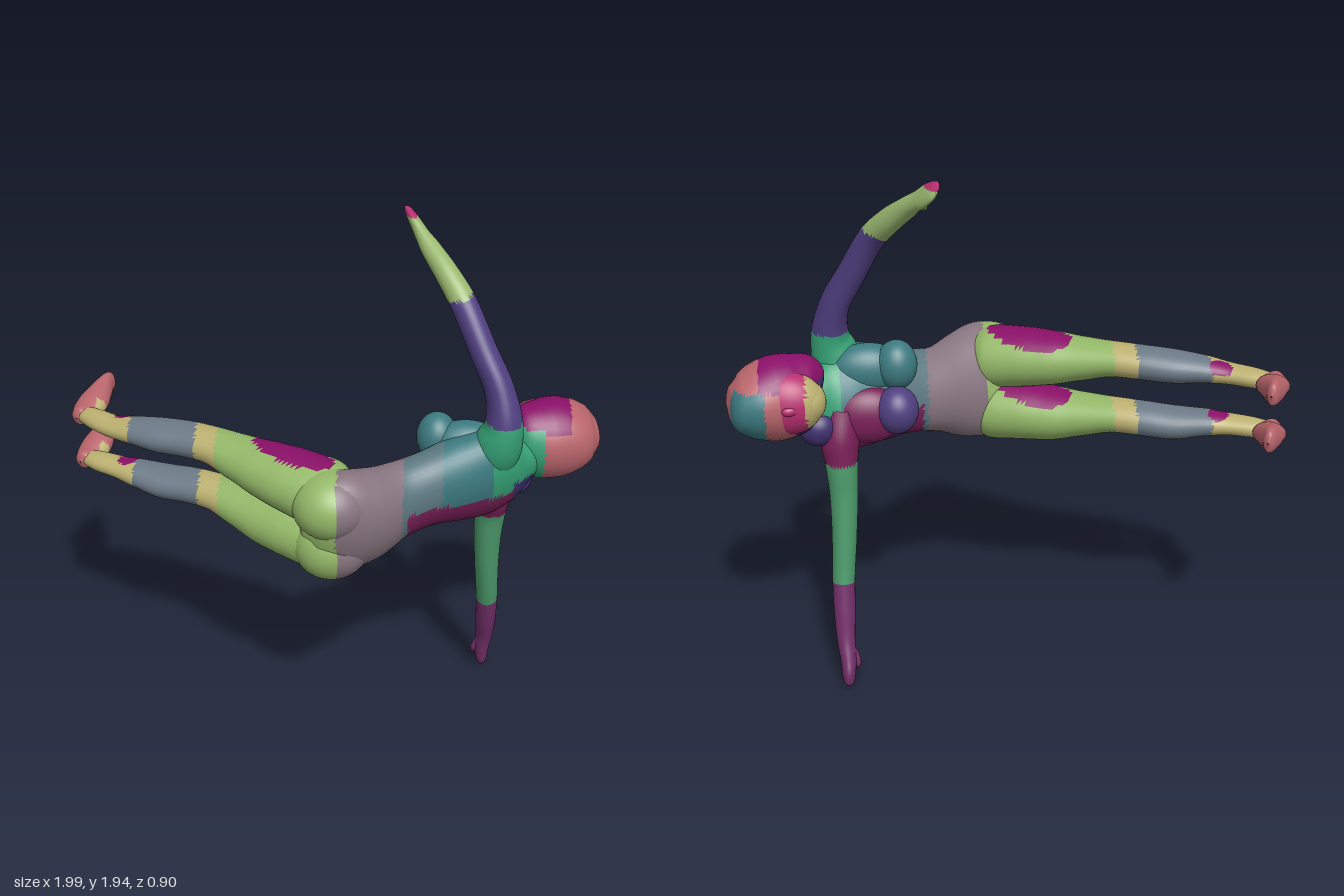
import * as THREE from 'three';

const V = (x, y, z) => new THREE.Vector3(x, y, z);
const C = {
  mauve: 0x87757f, slate: 0x5c7880, plum: 0x7a2058, teal: 0x3c7a80, mint: 0x35a075,
  green: 0x94b868, magenta: 0x8a1068, calf: 0x6c7a86, sand: 0xbcb070, rose: 0xb8656b,
  armGreen: 0x4c9a6b, armPlum: 0x74306a, violet: 0x4f3f80, armSand: 0x9ab870, indigo: 0x40306f,
  pink: 0xb83070,
};

// Splits a smooth geometry into one mesh per colour; paint(p) gives the colour at a face centre
function painted(name, geo, paint) {
  const group = new THREE.Group();
  group.name = name;
  const pos = geo.attributes.position, idx = geo.index.array, parts = new Map();
  for (let i = 0; i < idx.length; i += 3) {
    const p = V(0, 0, 0);
    for (let k = 0; k < 3; k++) p.add(V(0, 0, 0).fromBufferAttribute(pos, idx[i + k]));
    const colour = paint(p.divideScalar(3));
    if (!parts.has(colour)) parts.set(colour, []);
    parts.get(colour).push(idx[i], idx[i + 1], idx[i + 2]);
  }
  for (const [color, index] of parts) {
    const part = geo.clone();
    part.setIndex(index);
    const mesh = new THREE.Mesh(part, new THREE.MeshStandardMaterial({ color }));
    mesh.name = name;
    group.add(mesh);
  }
  return group;
}

// Smooth loft through stations [x, y, z, radius along side, radius across]
function loft(name, stations, side, paint, rows = 60, cols = 32) {
  const path = new THREE.CatmullRomCurve3(stations.map(s => V(s[0], s[1], s[2])));
  const size = new THREE.CatmullRomCurve3(stations.map(s => V(s[3], s[4], 0)), false, 'catmullrom', 0.4);
  const verts = [], index = [];
  for (let i = 0; i <= rows; i++) {
    const c = path.getPoint(i / rows), r = size.getPoint(i / rows), t = path.getTangent(i / rows);
    const u = side.clone().addScaledVector(t, -side.dot(t)).normalize();
    const v = t.clone().cross(u);
    for (let j = 0; j < cols; j++) {
      const a = j / cols * Math.PI * 2;
      const p = c.clone().addScaledVector(u, Math.max(r.x, 0.002) * Math.cos(a))
        .addScaledVector(v, Math.max(r.y, 0.002) * Math.sin(a));
      verts.push(p.x, p.y, p.z);
      if (i < rows) {
        const k = i * cols + j, n = i * cols + (j + 1) % cols;
        index.push(k, n, k + cols, n, n + cols, k + cols);
      }
    }
  }
  const geo = new THREE.BufferGeometry();
  geo.setAttribute('position', new THREE.Float32BufferAttribute(verts, 3));
  geo.setIndex(index);
  geo.computeVertexNormals();
  return painted(name, geo, paint);
}

// Rounded body mass
function blob(name, centre, radii, paint, tiltY = 0) {
  const geo = new THREE.SphereGeometry(1, 32, 24);
  geo.scale(...radii).rotateY(tiltY).translate(...centre);
  return painted(name, geo, paint);
}

export function createModel() {
  const model = new THREE.Group();
  model.name = 'figure';
  const twist = V(0, 0.94, 0.34);

  // Torso from seat to neck
  const torsoPaint = p => {
    if (p.x < 0.05) return C.green;
    if (p.x < 0.28) return C.mauve;
    if (p.x > 0.68) return p.y > 1.05 ? C.mint : C.indigo;
    if (p.y < 1.01 && p.x > 0.3) return C.plum;
    return p.x > 0.6 ? C.mint : p.x > 0.42 ? C.teal : C.slate;
  };
  model.add(loft('torso', [
    [-0.07, 0.985, 0.34, 0, 0], [-0.045, 0.985, 0.325, 0.15, 0.08], [0.03, 0.99, 0.29, 0.22, 0.13],
    [0.13, 0.99, 0.235, 0.205, 0.14], [0.25, 1.01, 0.15, 0.16, 0.122], [0.35, 1.03, 0.1, 0.157, 0.115],
    [0.47, 1.05, 0.05, 0.182, 0.125], [0.57, 1.06, 0.01, 0.195, 0.118], [0.64, 1.07, -0.02, 0.17, 0.1],
    [0.69, 1.085, -0.05, 0.12, 0.08], [0.75, 1.11, -0.08, 0.068, 0.068], [0.8, 1.12, -0.11, 0.055, 0.055],
  ], twist, torsoPaint, 90, 40));

  model.add(blob('leftButtock', [0.03, 1.08, 0.31], [0.14, 0.125, 0.138], torsoPaint, 0.4));
  model.add(blob('rightButtock', [0.03, 0.895, 0.265], [0.14, 0.13, 0.138], torsoPaint, 0.4));

  // Breasts, with the chest rising to the shoulders
  model.add(blob('leftBreast', [0.395, 1.185, -0.025], [0.075, 0.092, 0.078], () => C.teal));
  model.add(blob('rightBreast', [0.4, 1.035, -0.09], [0.078, 0.088, 0.08], () => C.violet));
  model.add(blob('leftChest', [0.5, 1.165, 0], [0.14, 0.095, 0.078], () => C.teal));
  model.add(blob('rightChest', [0.51, 1.01, -0.06], [0.14, 0.11, 0.078], () => C.plum));
  model.add(blob('rightShoulder', [0.685, 0.985, -0.1], [0.07, 0.068, 0.065], () => C.indigo));

  // Legs and feet: [hip y, thigh y, knee y, ankle y, toe rise, z shift]
  for (const [name, hip, thigh, knee, ankle, rise, dz] of [
    ['left', 1.085, 1.118, 1.148, 1.135, 0.04, 0.01], ['right', 0.89, 0.905, 0.937, 0.947, 0.05, -0.02],
  ]) {
    const legPaint = p => {
      const mid = THREE.MathUtils.lerp(knee, hip, (p.x + 0.4) / 0.4);
      const patch = Math.hypot((p.x + 0.11) / 0.15, (p.z - dz - 0.16 - 0.5 * (p.x + 0.11)) / 0.095);
      if (p.y > mid + 0.03 && patch < 1) return C.magenta;
      if (p.y > ankle + 0.01 && Math.hypot(p.x + 0.77, p.z + 0.15) < 0.04) return C.magenta;
      return p.x > -0.4 ? C.green : p.x > -0.48 ? C.sand : p.x > -0.74 ? C.calf : C.sand;
    };
    model.add(loft(name + 'Leg', [
      [0.1, hip, 0.28 + dz, 0.08, 0.08], [0.02, hip + 0.005, 0.25 + dz, 0.118, 0.135],
      [-0.1, (hip + thigh) / 2 + 0.005, 0.19 + dz, 0.112, 0.135], [-0.2, thigh, 0.135 + dz, 0.1, 0.122],
      [-0.31, (thigh + knee) / 2, 0.075 + dz, 0.08, 0.1], [-0.41, knee, 0.02 + dz, 0.064, 0.085],
      [-0.52, knee, -0.03 + dz, 0.062, 0.084], [-0.62, knee - 0.005, -0.065 + dz, 0.06, 0.084],
      [-0.72, (knee + ankle) / 2, -0.1 + dz, 0.049, 0.071], [-0.81, ankle, -0.138 + dz, 0.038, 0.056],
      [-0.88, ankle, -0.182 + dz / 2, 0.036, 0.05], [-0.94, ankle, -0.225, 0.03, 0.038],
    ], V(0, 1, 0), legPaint, 80));
    model.add(loft(name + 'Foot', [
      [-0.965, ankle, -0.185, 0, 0], [-0.96, ankle, -0.2, 0.033, 0.03], [-0.94, ankle, -0.245, 0.039, 0.056],
      [-0.92, ankle + rise * 0.4, -0.3, 0.041, 0.06], [-0.905, ankle + rise * 0.7, -0.36, 0.045, 0.046],
      [-0.888, ankle + rise * 0.95, -0.415, 0.047, 0.028], [-0.876, ankle + rise, -0.44, 0.036, 0.018],
      [-0.87, ankle + rise, -0.452, 0, 0],
    ], V(0, 1, 0), p => (p.x > -0.9 && p.z > -0.27 ? C.sand : C.rose), 50));
  }

  // Raised left arm
  const leftPaint = p => {
    if (p.y > 1.7 + (p.x - 0.46) * 0.4) return p.y > 1.915 ? C.pink : C.armSand;
    return p.y > 1.3 ? C.violet : C.mint;
  };
  model.add(loft('leftArm', [
    [0.59, 1.1, 0.02, 0.08, 0.08], [0.612, 1.2, 0.055, 0.09, 0.088], [0.628, 1.28, 0.058, 0.087, 0.07],
    [0.608, 1.4, 0.03, 0.076, 0.054], [0.545, 1.53, -0.02, 0.063, 0.05], [0.47, 1.68, -0.09, 0.05, 0.048],
    [0.41, 1.76, -0.16, 0.048, 0.043], [0.35, 1.825, -0.235, 0.039, 0.036], [0.32, 1.858, -0.28, 0.04, 0.027],
    [0.297, 1.885, -0.32, 0.047, 0.022], [0.272, 1.912, -0.365, 0.037, 0.015], [0.255, 1.928, -0.395, 0, 0],
  ], V(0, 0.3, 1), leftPaint, 80));
  model.add(loft('leftThumb', [
    [0.33, 1.855, -0.265, 0.018, 0.018], [0.31, 1.845, -0.29, 0.017, 0.016],
    [0.3, 1.85, -0.315, 0.013, 0.012], [0.295, 1.857, -0.33, 0, 0],
  ], V(0, 1, 0), () => C.armSand, 16, 12));

  // Lowered right arm
  model.add(loft('rightArm', [
    [0.6, 1.03, -0.05, 0.08, 0.075], [0.61, 0.93, -0.08, 0.085, 0.073], [0.608, 0.84, -0.1, 0.07, 0.06],
    [0.605, 0.72, -0.113, 0.063, 0.052], [0.61, 0.56, -0.138, 0.06, 0.046], [0.62, 0.4, -0.17, 0.053, 0.042],
    [0.622, 0.29, -0.2, 0.048, 0.04], [0.622, 0.18, -0.235, 0.039, 0.034], [0.617, 0.11, -0.258, 0.045, 0.03],
    [0.617, 0.06, -0.275, 0.05, 0.026], [0.618, 0.025, -0.285, 0.036, 0.02], [0.62, 0.002, -0.29, 0, 0],
  ], V(0, 0, 1), p => (p.y > 0.85 ? C.plum : p.y > 0.4 ? C.armGreen : C.armPlum), 80));
  model.add(loft('rightThumb', [
    [0.61, 0.16, -0.25, 0.018, 0.016], [0.59, 0.115, -0.25, 0.018, 0.015],
    [0.582, 0.085, -0.26, 0.013, 0.012], [0.584, 0.065, -0.265, 0, 0],
  ], V(0, 0, 1), () => C.armPlum, 16, 12));

  // Head with bobbed hair, tapering toward the crown
  const hairPaint = p => {
    if (p.x < 0.79 && p.z > -0.1) return p.y > 1.22 ? C.magenta : C.mint;
    if (p.y > 1.2) return p.x < 0.88 ? C.magenta : C.rose;
    if (p.x < 0.76) return C.indigo;
    return p.z < -0.24 && p.x > 0.86 ? C.teal : C.rose;
  };
  model.add(loft('hair', [
    [0.665, 1.13, -0.11, 0, 0], [0.68, 1.135, -0.11, 0.09, 0.07], [0.72, 1.14, -0.115, 0.132, 0.118],
    [0.78, 1.133, -0.135, 0.15, 0.143], [0.84, 1.13, -0.16, 0.151, 0.15], [0.9, 1.13, -0.182, 0.133, 0.143],
    [0.95, 1.132, -0.195, 0.104, 0.117], [0.983, 1.135, -0.2, 0.06, 0.07], [0.996, 1.136, -0.203, 0, 0],
  ], V(0, 1, 0), hairPaint, 50, 40));
  // Face, jaw and nose
  const facePaint = p => (p.x < 0.72 ? C.sand : C.pink);
  model.add(blob('face', [0.79, 1.135, -0.215], [0.135, 0.115, 0.092], facePaint, -0.1));
  model.add(blob('jaw', [0.715, 1.135, -0.215], [0.065, 0.075, 0.075], facePaint));
  model.add(blob('nose', [0.775, 1.137, -0.297], [0.03, 0.018, 0.018], facePaint, 0.3));

  return model;
}
